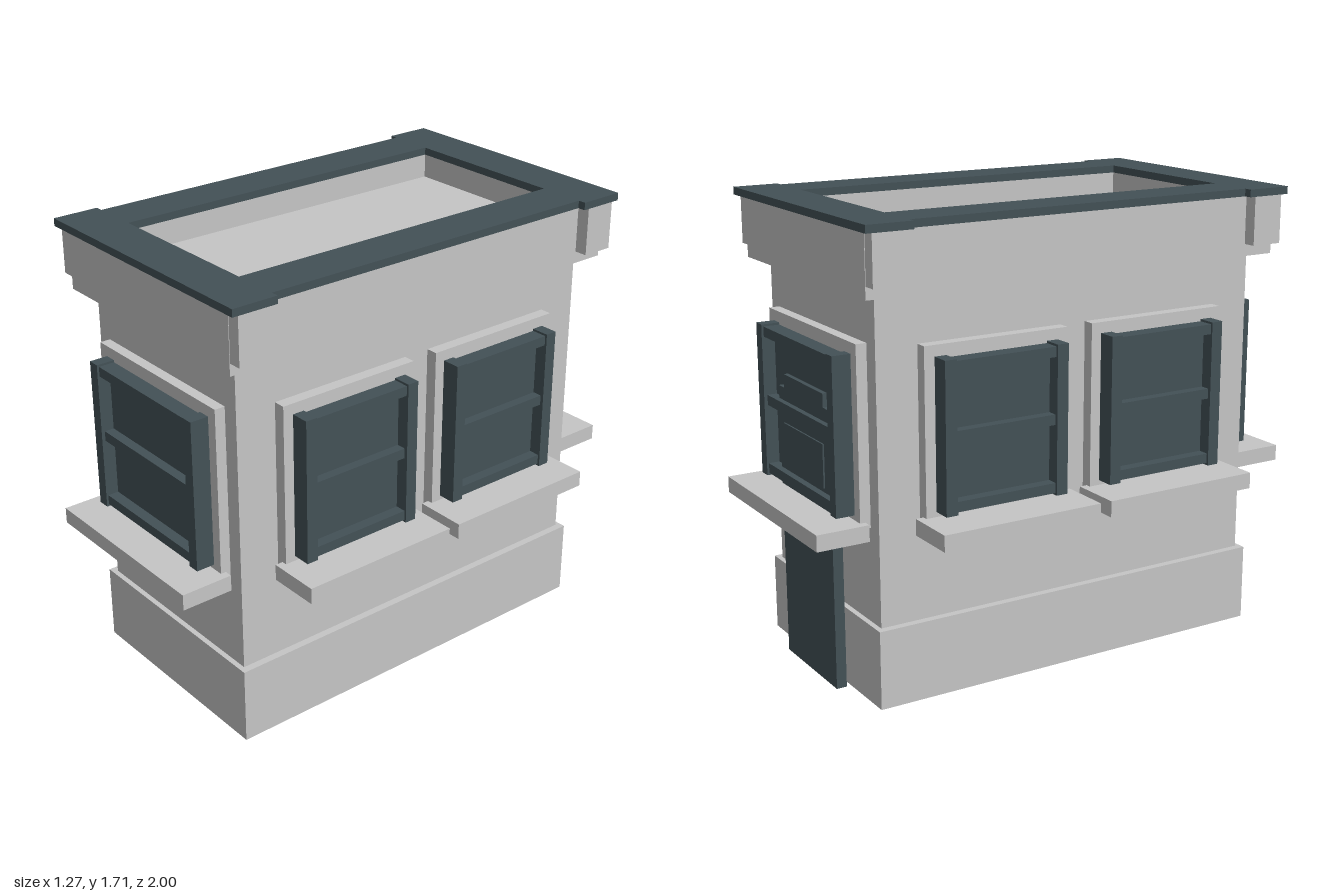
import * as THREE from 'three';

const stone = new THREE.MeshStandardMaterial({ color: 0xc5c5c5 });
stone.name = 'pale stone';
const slate = new THREE.MeshStandardMaterial({ color: 0x435156 });
slate.name = 'dark slate';

// Box given by its min and max on each axis
function box(parent, name, mat, x0, x1, y0, y1, z0, z1) {
  const mesh = new THREE.Mesh(new THREE.BoxGeometry(x1 - x0, y1 - y0, z1 - z0), mat);
  mesh.position.set((x0 + x1) / 2, (y0 + y1) / 2, (z0 + z1) / 2);
  mesh.name = name;
  parent.add(mesh);
  return mesh;
}

// Horizontal ring: outline extruded upwards with a rectangular opening
function ring(parent, name, mat, outline, hx, hz, y0, y1) {
  const shape = new THREE.Shape(outline.map(([x, z]) => new THREE.Vector2(x, z)));
  shape.holes.push(new THREE.Path([[-hx, -hz], [-hx, hz], [hx, hz], [hx, -hz]]
    .map(([x, z]) => new THREE.Vector2(x, z))));
  const geo = new THREE.ExtrudeGeometry(shape, { depth: y1 - y0, bevelEnabled: false });
  geo.rotateX(-Math.PI / 2);
  const mesh = new THREE.Mesh(geo, mat);
  mesh.position.y = y0;
  mesh.name = name;
  parent.add(mesh);
}

// Window facing +z with its wall side at z = 0; w is half the sash width
function makeWindow(w, y0, y1, surround, sill) {
  const g = new THREE.Group();
  g.name = 'window';
  const s = 0.045, mid = (y0 + y1) / 2 + 0.002;
  box(g, 'surround', stone, -surround, surround, y0 - 0.04, y1 + 0.04, -0.05, 0);
  box(g, 'sill', stone, -sill, sill, y0 - 0.078, y0 - 0.018, -0.02, 0.178);
  box(g, 'pane', slate, -w + s, w - s, y0 + 0.01, y1 - 0.01, -0.01, 0.02);
  for (const d of [-1, 1]) {
    const c = d * (w - s / 2);
    box(g, 'stile', slate, c - s / 2, c + s / 2, y0, y1, -0.01, 0.07);
  }
  box(g, 'bottomRail', slate, -w + s, w - s, y0 + 0.008, y0 + s, -0.01, 0.062);
  box(g, 'topRail', slate, -w + s, w - s, y1 - s, y1 - 0.008, -0.01, 0.062);
  box(g, 'middleRail', slate, -w + s, w - s, mid - 0.019, mid + 0.019, -0.01, 0.057);
  return g;
}

export function createModel() {
  const model = new THREE.Group();
  model.name = 'kiosk';

  // Walls
  box(model, 'plinth', stone, -0.44, 0.44, 0, 0.29, -0.8, 0.8);
  box(model, 'walls', stone, -0.412, 0.412, 0.29, 1.455, -0.78, 0.78);

  // Cornice around a sunken roof
  const cx = 0.475, cz = 0.842;
  ring(model, 'cornice', stone, [[-cx, -cz], [cx, -cz], [cx, cz], [-cx, cz]], 0.325, 0.69, 1.455, 1.68);
  box(model, 'roofFloor', stone, -0.33, 0.33, 1.45, 1.59, -0.695, 0.695);
  for (const x of [-1, 1]) for (const z of [-1, 1]) {
    const bx = x * 0.495, bz = z * 0.779;
    box(model, 'cornerBlock', stone, bx - 0.03, bx + 0.03, 1.5, 1.68, bz - 0.061, bz + 0.061);
  }

  // Coping, wider at both ends
  const a = 0.53, b = 0.5, e = 0.865, n = 0.69;
  ring(model, 'coping', slate, [
    [-a, -e], [a, -e], [a, -n], [b, -n], [b, n], [a, n],
    [a, e], [-a, e], [-a, n], [-b, n], [-b, -n], [-a, -n],
  ], 0.325, 0.69, 1.68, 1.708);

  // Windows on the front and back, then two on each side
  for (const d of [1, -1]) {
    const end = makeWindow(0.31, 0.678, 1.245, 0.35, 0.38);
    end.name = d > 0 ? 'frontWindow' : 'backWindow';
    end.position.z = d * 0.82;
    end.rotation.y = d > 0 ? 0 : Math.PI;
    model.add(end);
    for (const z of [-0.337, 0.337]) {
      const side = makeWindow(0.245, 0.69, 1.235, 0.285, 0.315);
      side.name = d > 0 ? 'leftWindow' : 'rightWindow';
      side.position.set(d * 0.457, 0, z);
      side.rotation.y = d * Math.PI / 2;
      model.add(side);
    }
  }

  // Back door, its stepped head rising behind the sash
  box(model, 'door', slate, -0.205, 0.205, 0, 1.03, -0.857, -0.818);
  box(model, 'doorHead', slate, -0.16, 0.16, 1.03, 1.08, -0.857, -0.818);
  box(model, 'doorPanel', slate, -0.16, 0.16, 0.74, 0.9, -0.863, -0.85);
  return model;
}
